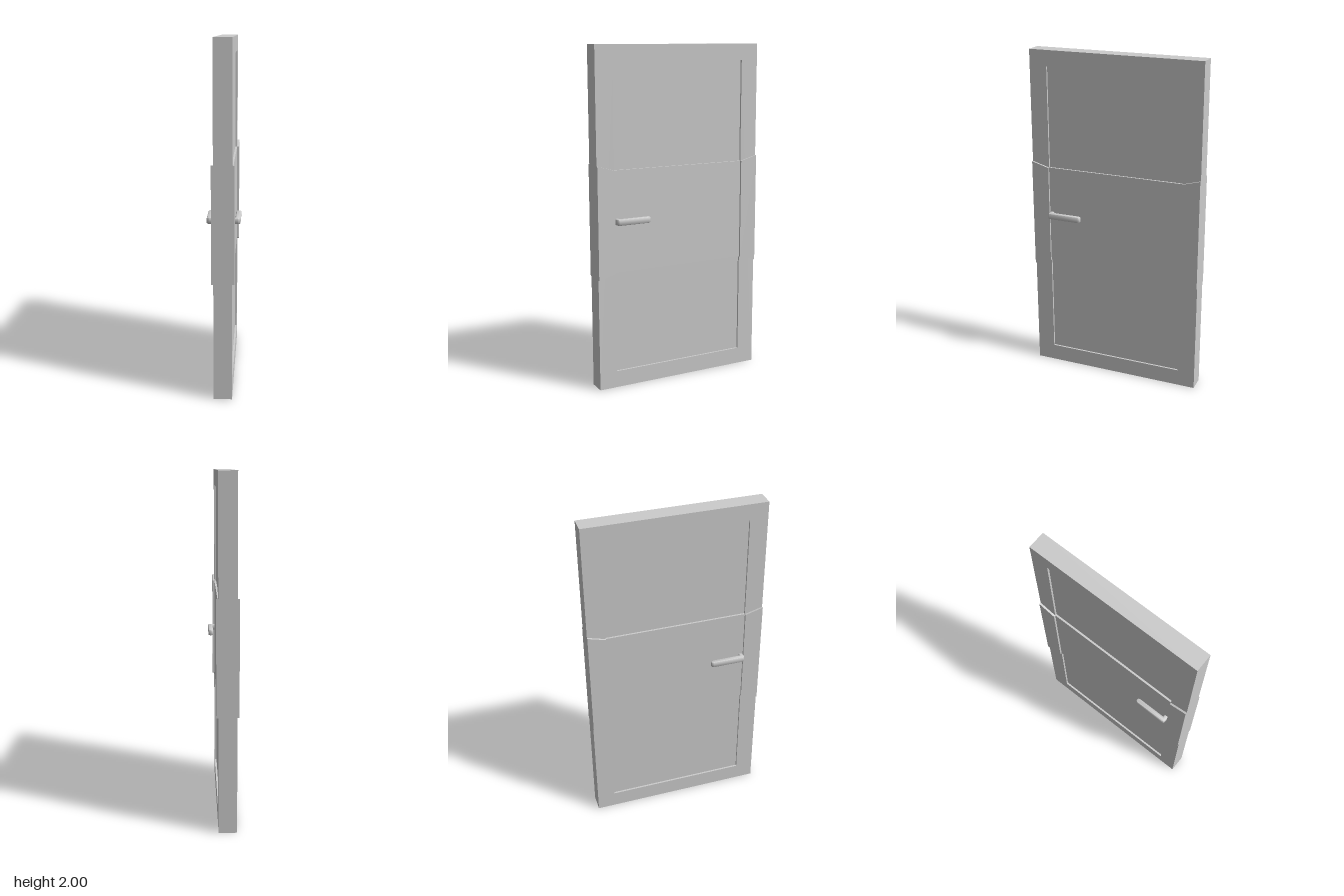
import * as THREE from 'three';
import { toCreasedNormals } from 'three/addons/utils/BufferGeometryUtils.js';

const H = 2, HALF_W = 0.527, HALF_T = 0.052, STEP = 0.0115;
const OPEN_W = 0.42, OPEN_LOW = 0.1, OPEN_HIGH = 1.905;

export function createModel() {
  const door = new THREE.Group();
  door.name = 'door';
  const mat = new THREE.MeshStandardMaterial({ color: 0xcccccc });

  const add = (name, geometry, parent = door) => {
    const mesh = new THREE.Mesh(geometry, mat);
    mesh.name = name;
    parent.add(mesh);
    return mesh;
  };
  const polygon = (points) => new THREE.Shape(points.map(([a, b]) => new THREE.Vector2(a, b)));
  const rect = (a0, b0, a1, b1) => [[a0, b0], [a1, b0], [a1, b1], [a0, b1]];

  // Slab drawn in (width, height), running through the thickness from x0 to x1
  const slab = (shape, x0, x1) => new THREE.ExtrudeGeometry(shape, { depth: x1 - x0, bevelEnabled: false })
    .translate(0, 0, x0).rotateY(Math.PI / 2);

  // Outer frame with one large opening
  const frame = polygon(rect(-HALF_W, 0, HALF_W, H));
  frame.holes.push(polygon(rect(-OPEN_W, OPEN_LOW, OPEN_W, OPEN_HIGH)));
  add('frame', slab(frame, -HALF_T, HALF_T));

  // Recessed panels above and below a thicker middle panel
  const panel = (name, y0, y1, halfT) =>
    add(name, slab(polygon(rect(-OPEN_W, y0, OPEN_W, y1)), -halfT, halfT));
  panel('lowerPanel', OPEN_LOW, 0.7, HALF_T - STEP);
  panel('middlePanel', 0.7, 1.3, HALF_T);
  panel('upperPanel', 1.3, OPEN_HIGH, HALF_T - STEP);

  // Raised plates with slanted ends on both stiles and both faces
  for (const s of [-1, 1]) {
    const plate = polygon([[s * OPEN_W, 0.7], [s * HALF_W, 0.67], [s * HALF_W, 1.33], [s * OPEN_W, 1.3]]);
    add('edgePlate', slab(plate, HALF_T, HALF_T + STEP));
    add('edgePlate', slab(plate, -HALF_T - STEP, -HALF_T));
  }

  // L-shaped lever: stem out of the door, rounded corner, rounded tip
  const bevel = 0.007, inX = 0.065 + bevel, outX = 0.094 - bevel;
  const backZ = 0.393 + bevel, frontZ = 0.418 - bevel, tipZ = 0.208 + bevel;
  const r = (outX - inX) / 2;
  const lever = new THREE.Shape();
  lever.moveTo(0.045, backZ);
  lever.lineTo(inX, backZ);
  lever.lineTo(inX, tipZ + r);
  lever.absarc(inX + r, tipZ + r, r, Math.PI, Math.PI * 2, false);
  lever.lineTo(outX, frontZ - r);
  lever.absarc(outX - r, frontZ - r, r, 0, Math.PI / 2, false);
  lever.lineTo(0.045, frontZ);
  lever.closePath();
  const height = 0.036;
  const leverGeo = toCreasedNormals(new THREE.ExtrudeGeometry(lever, {
    depth: height - 2 * bevel, bevelThickness: bevel, bevelSize: bevel, bevelSegments: 4, curveSegments: 10,
  }).translate(0, 0, bevel - height / 2).rotateX(Math.PI / 2), 0.7);
  for (const turn of [0, Math.PI]) {
    const handle = add('handle', leverGeo);
    handle.position.y = 1.003;
    handle.rotation.z = turn;
  }

  return door;
}
